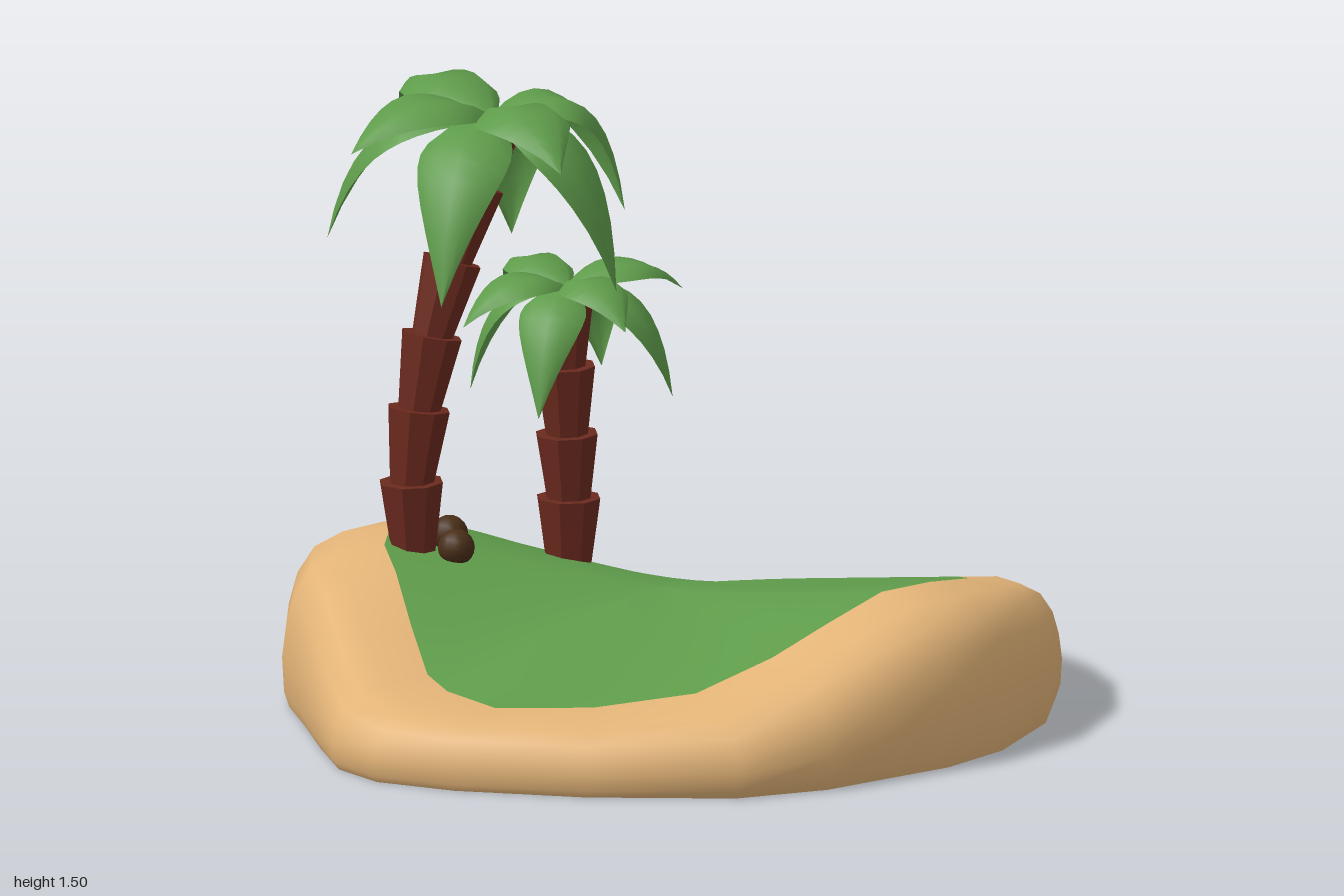
import * as THREE from 'three';

const mat = (color, extra = {}) => new THREE.MeshStandardMaterial({ color, ...extra });
const SAND = mat(0xe3b478);
const GRASS = mat(0x5f9c4b);
const LEAF = mat(0x5f9c4b, { side: THREE.DoubleSide });
const BARK = mat(0x6b2a1e, { flatShading: true });
const NUT = mat(0x4a2f18);

// Outline rows: shore x, shore z, grass edge x, grass edge z, height at the grass edge
const RIM = [
  [1, -.02, .77, -.02, .23], [.99, .12, .77, .09, .26], [.92, .34, .75, .26, .29],
  [.76, .58, .63, .4, .34], [.53, .78, .45, .53, .38], [.33, .87, .29, .58, .385],
  [.14, .9, .12, .61, .33], [-.04, .93, -.04, .63, .27], [-.28, .9, -.24, .61, .2],
  [-.6, .71, -.47, .51, .17], [-.85, .49, -.68, .4, .17], [-.98, .32, -.72, .23, .18],
  [-1, .16, -.72, .13, .2], [-.94, -.04, -.66, -.06, .27], [-.86, -.27, -.6, -.25, .36],
  [-.8, -.46, -.55, -.4, .39], [-.7, -.63, -.46, -.53, .4], [-.49, -.76, -.32, -.62, .38],
  [-.23, -.86, -.13, -.69, .31], [-.05, -.92, 0, -.71, .26], [.13, -.94, .11, -.72, .21],
  [.3, -.89, .26, -.68, .15], [.48, -.78, .38, -.59, .12], [.68, -.6, .53, -.47, .1],
  [.82, -.46, .66, -.37, .1], [.91, -.34, .69, -.3, .11], [.98, -.18, .72, -.22, .13],
];

// Skin a list of equal-length point rows
function loft(rows, closed) {
  const n = rows[0].length;
  const index = [];
  for (let i = 0; i < rows.length - 1; i++) {
    for (let j = 0; j < (closed ? n : n - 1); j++) {
      const k = (j + 1) % n;
      const a = i * n + j, b = i * n + k, c = a + n, d = b + n;
      index.push(a, c, b, b, c, d);
    }
  }
  const g = new THREE.BufferGeometry();
  g.setAttribute('position', new THREE.Float32BufferAttribute(rows.flat(2), 3));
  g.setIndex(index);
  g.computeVertexNormals();
  return g;
}

function addMesh(parent, name, geometry, material) {
  const m = new THREE.Mesh(geometry, material);
  m.name = name;
  parent.add(m);
  return m;
}

function buildIsland() {
  const island = new THREE.Group();
  island.name = 'island';
  const lerp = THREE.MathUtils.lerp;
  // u runs from the shore to the grass edge, v is the share of the edge height
  const bank = (u, v) => RIM.map(([ox, oz, gx, gz, h]) => [lerp(ox, gx, u), v * h, lerp(oz, gz, u)]);
  const profile = [[.07, 0], [.02, .1], [0, .32], [.04, .53], [.12, .72], [.28, .88], [.55, .97], [1, 1]];
  addMesh(island, 'sandBank', loft(profile.map(([u, v]) => bank(u, v)), true), SAND);
  const floor = bank(.07, 0);
  addMesh(island, 'sandFloor', loft([floor.map(() => [0, 0, 0]), floor], true), SAND);
  // Saddle-shaped grass: the rim height blends into a level middle
  const grassRing = (t) => RIM.map(([, , gx, gz, h]) =>
    [lerp(.02, gx, t), lerp(.3, h, t ** 1.5), lerp(-.03, gz, t)]);
  addMesh(island, 'grass', loft([1, .85, .7, .55, .4, .25, .1, 0].map(grassRing), true), GRASS);
  return island;
}

// Trunk: flared stumps stacked along a path of joints
function buildTrunk(joints) {
  const trunk = new THREE.Group();
  trunk.name = 'trunk';
  for (let i = 0; i < joints.length - 1; i++) {
    const a = new THREE.Vector3(...joints[i]);
    const b = new THREE.Vector3(...joints[i + 1]);
    const dir = b.clone().sub(a);
    const top = .08 - i * .002;
    const s = addMesh(trunk, 'trunkSegment', new THREE.CylinderGeometry(top, top - .025, dir.length() + .02, 8), BARK);
    s.position.copy(a).add(b).multiplyScalar(.5);
    s.quaternion.setFromUnitVectors(new THREE.Vector3(0, 1, 0), dir.normalize());
  }
  return trunk;
}

// Leaf: arched midrib from the origin to its tip, with sides that hang down
function leafGeometry([dx, dz, tipY, lift]) {
  const f = .5 - tipY * .9;
  const rib = new THREE.QuadraticBezierCurve3(
    new THREE.Vector3(), new THREE.Vector3(dx * f, lift, dz * f), new THREE.Vector3(dx, tipY, dz));
  const side = new THREE.Vector3(-dz, 0, dx).normalize();
  const section = [[-1, -.4], [-.55, -.02], [0, -.05], [.55, -.02], [1, -.4]];
  const rows = [];
  for (let i = 0; i <= 10; i++) {
    const t = i / 10;
    const p = rib.getPoint(t);
    const up = side.clone().cross(rib.getTangent(t));
    const w = .115 * Math.sin(Math.PI * (.04 + .96 * t ** .85));
    rows.push(section.map(([s, h]) =>
      p.clone().addScaledVector(side, s * w).addScaledVector(up, h * w).toArray()));
  }
  return loft(rows, false);
}

function buildPalm(name, joints, leaves, crownAt, size) {
  const palm = new THREE.Group();
  palm.name = name;
  palm.add(buildTrunk(joints));
  const crown = new THREE.Group();
  crown.name = 'crown';
  crown.position.set(...crownAt);
  crown.scale.setScalar(size);
  leaves.forEach((l) => addMesh(crown, 'leaf', leafGeometry(l), LEAF));
  palm.add(crown);
  return palm;
}

export function createModel() {
  const model = new THREE.Group();
  model.name = 'palmIsland';
  model.add(buildIsland());

  // Leaves: tip x, tip z, tip y, arch lift
  model.add(buildPalm('tallPalm',
    [[-.47, .37, -.4], [-.475, .53, -.4], [-.455, .71, -.4], [-.42, .89, -.4],
      [-.365, 1.07, -.4], [-.3, 1.25, -.4], [-.25, 1.39, -.4]],
    [[-.42, .06, -.03, .17], [.36, .02, -.27, .17], [-.03, .41, -.05, .16], [-.03, -.41, -.04, .16],
      [-.29, .28, -.38, .1], [-.31, -.26, -.32, .1], [.2, .27, -.4, .06], [.2, -.26, -.37, .06]],
    [-.25, 1.42, -.41], 1));

  model.add(buildPalm('shortPalm',
    [[-.04, .28, -.4], [-.04, .44, -.4], [-.045, .6, -.4], [-.05, .77, -.4], [-.05, .96, -.4]],
    [[-.41, .02, -.09, .16], [.45, -.01, -.06, .16], [0, .41, -.07, .16], [-.02, -.41, -.05, .16],
      [-.24, .24, -.38, .08], [-.24, -.24, -.38, .08], [.27, .25, -.36, .08], [.27, -.25, -.36, .08]],
    [-.045, .975, -.4], .72));

  [[-.4, .385, -.31], [-.375, .4, -.39]].forEach((p) =>
    addMesh(model, 'coconut', new THREE.SphereGeometry(.045, 14, 10), NUT).position.set(...p));
  return model;
}
